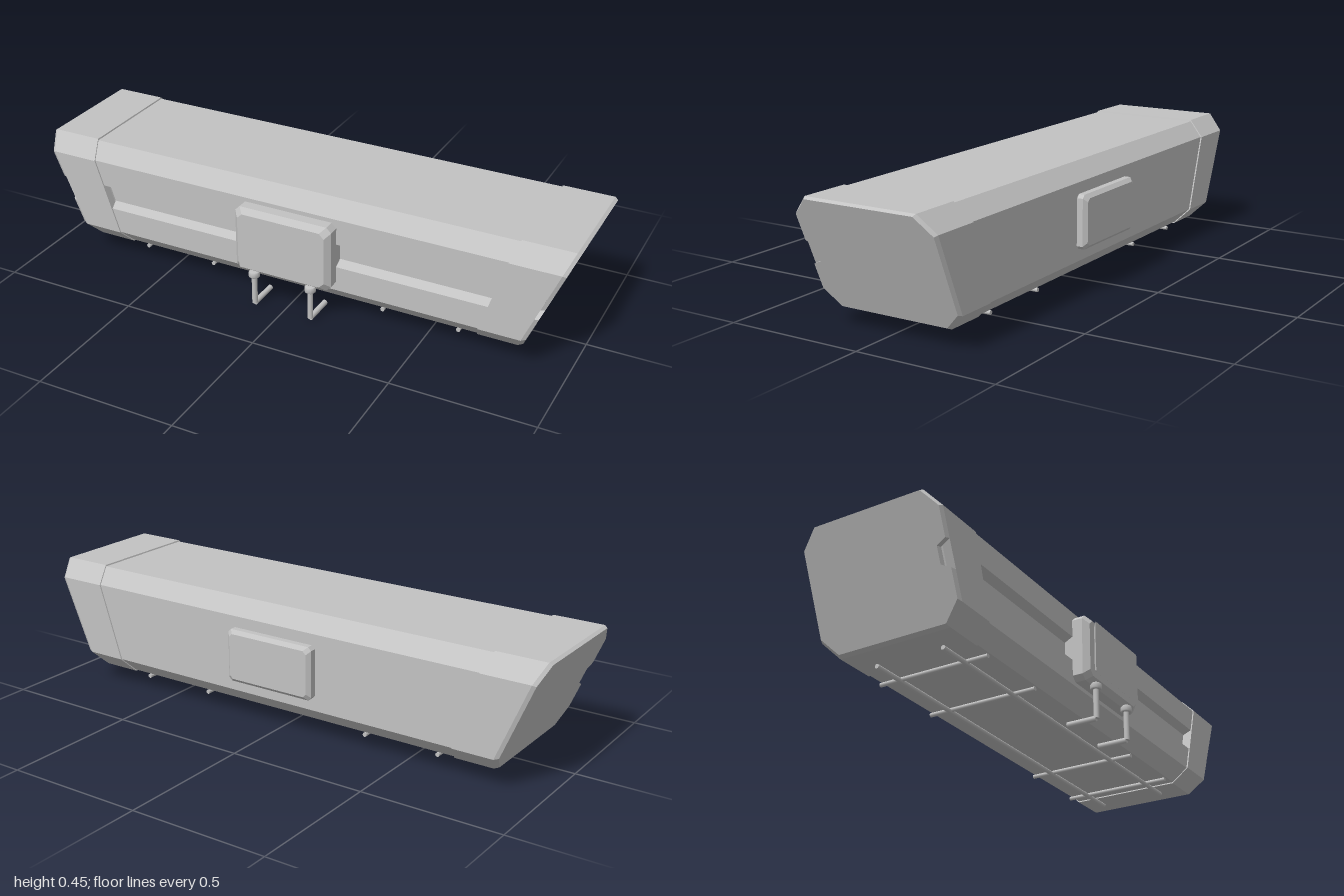
import * as THREE from 'three';

export function createModel() {
  const model = new THREE.Group();
  const grey = new THREE.MeshStandardMaterial({ color: 0xc2c2c2 });
  grey.name = 'plainGrey';

  const add = (name, geometry, parent = model) => {
    const mesh = new THREE.Mesh(geometry, grey);
    mesh.name = name;
    parent.add(mesh);
    return mesh;
  };

  // Prism along x from a [z, y] outline; each end plane x0(y), x1(y) may slant and shrink by an inset
  const cy = 0.254, cz = -0.018;
  function prism(points, x0, x1, inset0 = 0, inset1 = 0, hole = null) {
    const toVec = ([z, y]) => new THREE.Vector2(-z, y);
    const shape = new THREE.Shape(points.map(toVec));
    if (hole) shape.holes.push(new THREE.Path(hole.map(toVec)));
    const g = new THREE.ExtrudeGeometry(shape, { depth: 1, bevelEnabled: false });
    const p = g.attributes.position;
    for (let i = 0; i < p.count; i++) {
      const end = p.getZ(i) > 0.5;
      const inset = end ? inset1 : inset0;
      const y = cy + (p.getY(i) - cy) * (1 - inset / 0.196);
      const z = cz + (-p.getX(i) - cz) * (1 - inset / 0.265);
      p.setXYZ(i, end ? x1(y) : x0(y), y, z);
    }
    g.computeVertexNormals();
    return g;
  }

  // Outline of the long housing, optionally with the front channel cut in
  function housing(inset, channel) {
    const b = 0.058 + inset, t = 0.45 - inset, f = 0.247 - inset, r = -0.283 + inset;
    const front = channel
      ? [[f, 0.208], [0.212, 0.225], [0.212, 0.28], [f, 0.296]] : [];
    return [[0.19, b], [f, 0.117], ...front, [f, 0.39], [0.19, t],
      [-0.225, t], [r, 0.39], [r, 0.117], [-0.225, b]];
  }
  const seam = (y) => 0.805 - 0.32 * (0.45 - y);
  const tip = (y) => 1 - 0.42 * (0.45 - y);
  const shoulder = (y) => tip(y) - 0.014;
  const neg = (f) => (y) => -f(y);

  add('centreHousing', prism(housing(0.005, true), neg(seam), seam));

  // End caps: a main block with a narrow slit, and a bevelled end plate with a notch
  const slit = [[0.212, 0.225], [0.218, 0.222], [0.218, 0.282], [0.212, 0.28]];
  const full = housing(0, false), notched = housing(0, true);
  add('leftCap', prism(full, seam, shoulder, 0, 0, slit));
  add('leftCapEnd', prism(notched, shoulder, tip, 0, 0.007));
  add('rightCap', prism(full, neg(shoulder), neg(seam), 0, 0, slit));
  add('rightCapEnd', prism(notched, neg(tip), neg(shoulder), 0.007, 0));

  // Panel facing z, built from stacked chamfered rectangles [z, half width, half height]
  function panel(sections, corner, y) {
    const pos = [], idx = [];
    const n = 8;
    sections.forEach(([z, w, h]) => {
      const c = corner;
      [[w - c, -h], [w, c - h], [w, h - c], [w - c, h], [c - w, h], [-w, h - c], [-w, c - h], [c - w, -h]]
        .forEach(([a, b]) => pos.push(a, y + b, z));
    });
    for (let s = 0; s < sections.length - 1; s++) {
      for (let i = 0; i < n; i++) {
        const a = s * n + i, b = s * n + (i + 1) % n;
        idx.push(a, b, b + n, a, b + n, a + n);
      }
    }
    const last = (sections.length - 1) * n;
    for (let i = 1; i < n - 1; i++) idx.push(0, i + 1, i, last, last + i, last + i + 1);
    const g = new THREE.BufferGeometry();
    g.setAttribute('position', new THREE.Float32BufferAttribute(pos, 3));
    g.setIndex(idx);
    const flat = g.toNonIndexed();
    flat.computeVertexNormals();
    return flat;
  }

  // Front display box with its thin flared screen, and the rear access panel
  add('displayBox', panel([[0.205, 0.183, 0.122], [0.28, 0.183, 0.122], [0.3, 0.165, 0.104]], 0.018, 0.253));
  add('displayScreen', panel([[0.303, 0.14, 0.084], [0.315, 0.152, 0.096]], 0.004, 0.254));
  const back = add('rearPanel', panel([[0.27, 0.173, 0.095], [0.3, 0.173, 0.095], [0.313, 0.16, 0.082]], 0.012, 0.255));
  back.rotation.y = Math.PI;

  const rod = (name, radius, length, axis, x, y, z, parent) => {
    const g = new THREE.CylinderGeometry(radius, radius, length, 12);
    if (axis === 'x') g.rotateZ(Math.PI / 2);
    if (axis === 'z') g.rotateX(Math.PI / 2);
    add(name, g, parent).position.set(x, y, z);
  };

  // Bent hooks under the display
  for (const x of [-0.109, 0.109]) {
    const hook = new THREE.Group();
    hook.name = 'hook';
    hook.position.x = x;
    model.add(hook);
    rod('hookStem', 0.01, 0.12, 'y', 0, 0.07, 0.289, hook);
    rod('hookFoot', 0.01, 0.11, 'z', 0, 0.01, 0.233, hook);
    const collar = [[0, 0.115], [0.016, 0.115], [0.02, 0.119], [0.02, 0.134], [0.016, 0.138], [0, 0.138]];
    add('hookCollar', new THREE.LatheGeometry(collar.map(([r, y]) => new THREE.Vector2(r, y)), 12), hook)
      .position.z = 0.289;
  }

  // Rack of rods beneath the housing
  for (const z of [0.108, -0.143]) rod('longRail', 0.008, 1.48, 'x', -0.004, 0.047, z);
  for (const x of [-0.617, -0.338, 0.334, 0.612]) rod('crossRod', 0.0075, 0.414, 'z', x, 0.052, -0.018);

  return model;
}
